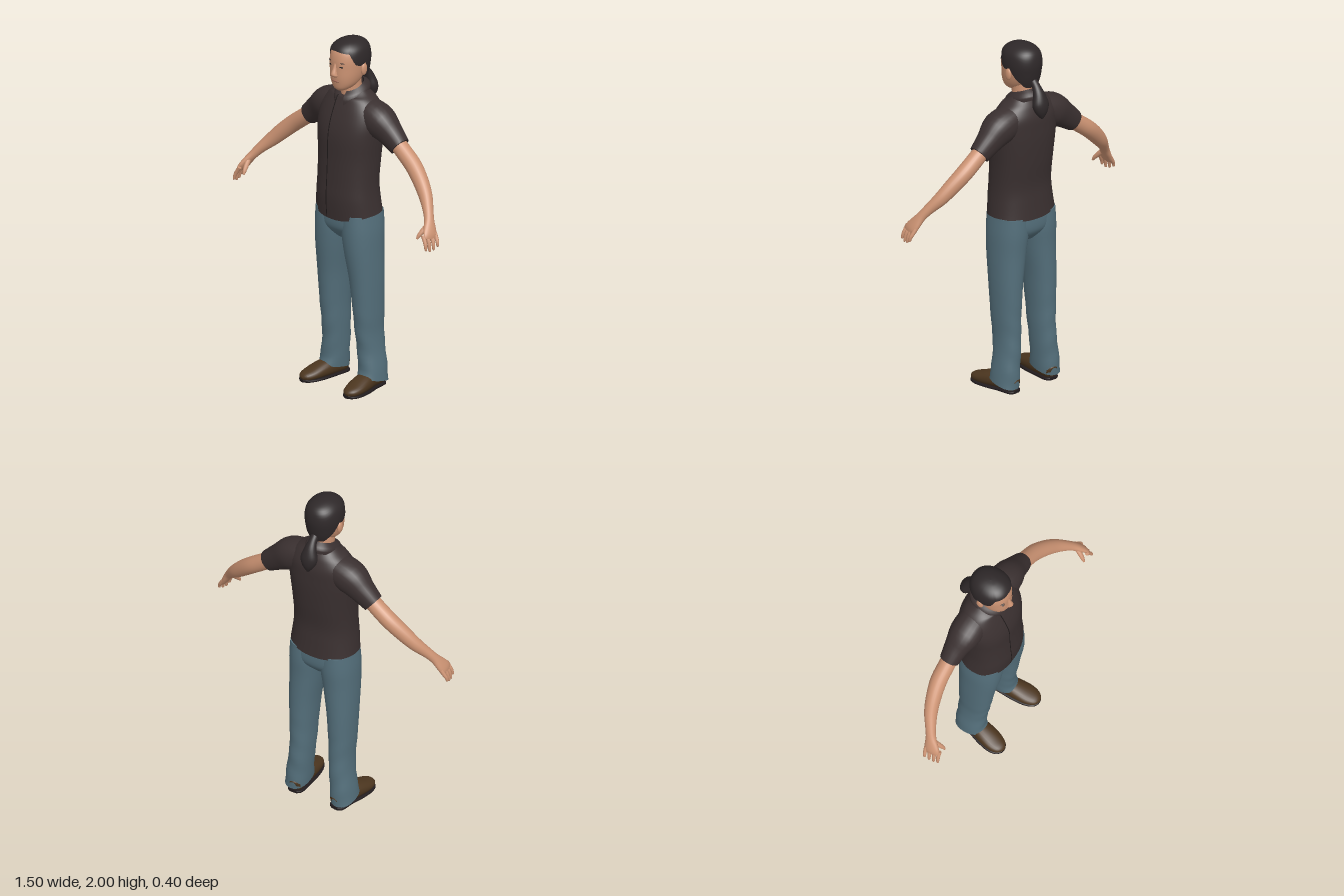
import * as THREE from 'three';

const material = (name, color) => {
  const m = new THREE.MeshStandardMaterial({ color, side: THREE.DoubleSide });
  m.name = name;
  return m;
};

// Catmull-Rom blend of number rows, s from 0 to 1
function sample(rows, s) {
  const n = rows.length - 1;
  const f = Math.min(Math.max(s, 0), 1) * n;
  const i = Math.min(Math.floor(f), n - 1), t = f - i;
  const at = (k) => rows[Math.min(Math.max(k, 0), n)];
  const [a, b, c, d] = [at(i - 1), at(i), at(i + 1), at(i + 2)];
  return b.map((_, k) => b[k] + 0.5 * t * (c[k] - a[k]
    + t * (2 * a[k] - 5 * b[k] + 4 * c[k] - d[k] + t * (3 * (b[k] - c[k]) + d[k] - a[k]))));
}

// Grid surface from point(s, angle); angle 0 is the front and grows towards +x
function surface(point, rows, cols, { arc = null, caps = false } = {}) {
  const [a0, a1] = arc || [0, Math.PI * 2];
  const count = arc ? cols + 1 : cols;
  const ring = (s) => Array.from({ length: count }, (_, j) => point(s, a0 + (a1 - a0) * j / cols));
  const grid = Array.from({ length: rows + 1 }, (_, i) => ring(i / rows));
  const middle = (r) => {
    const c = new THREE.Vector3();
    r.forEach((p) => c.add(p));
    c.divideScalar(count);
    return r.map(() => c);
  };
  if (caps) {
    const first = grid[0], last = grid[grid.length - 1];
    grid.unshift(middle(first), first);
    grid.push(last, middle(last));
  }
  const index = [];
  for (let i = 0; i < grid.length - 1; i++) {
    if (grid[i] === grid[i + 1]) continue;
    for (let j = 0; j < cols; j++) {
      const k = (j + 1) % count;
      const a = i * count + j, b = i * count + k;
      index.push(a, b, b + count, a, b + count, a + count);
    }
  }
  const g = new THREE.BufferGeometry().setFromPoints(grid.flat());
  g.setIndex(index);
  g.computeVertexNormals();
  return g;
}

// Point on a tube of rounded sections [x, y, z, halfWidth, halfDepth]
const power = (v, p) => Math.sign(v) * Math.abs(v) ** (2 / p);
function section(rows, { flat = false, ref = [0, 0, 1], p = 2, warp = null } = {}) {
  return (s, a) => {
    const [x, y, z, w, d] = sample(rows, s);
    let u = new THREE.Vector3(1, 0, 0), v = new THREE.Vector3(...ref);
    if (!flat) {
      const lo = sample(rows, s - 0.01), hi = sample(rows, s + 0.01);
      const t = new THREE.Vector3(hi[0] - lo[0], hi[1] - lo[1], hi[2] - lo[2]).normalize();
      v.addScaledVector(t, -v.dot(t)).normalize();
      u = t.cross(v);
    }
    const q = new THREE.Vector3(x, y, z)
      .addScaledVector(u, Math.max(w, 0) * power(Math.sin(a), p))
      .addScaledVector(v, Math.max(d, 0) * power(Math.cos(a), p));
    if (warp) warp(q, a, s);
    return q;
  };
}
const loft = (rows, opts = {}, cols = 24) =>
  surface(section(rows, opts), (rows.length - 1) * 4, cols, { caps: true });

function mirrored(geometry) {
  const g = geometry.clone().scale(-1, 1, 1);
  const idx = g.index.array;
  for (let i = 0; i < idx.length; i += 3) [idx[i], idx[i + 1]] = [idx[i + 1], idx[i]];
  g.computeVertexNormals();
  return g;
}

const blob = (x, y, z, rx, ry, rz) =>
  new THREE.SphereGeometry(1, 16, 12).scale(rx, ry, rz).translate(x, y, z);

export function createModel() {
  const skin = material('skin', 0xcc9373);
  const hair = material('hair', 0x2e2829);
  const cloth = material('shirt cloth', 0x3a3030);
  const seam = material('seam and eyes', 0x1f1a1a);
  const denim = material('denim', 0x546f7b);
  const leather = material('shoe leather', 0x4c361f);
  const rubber = material('sole rubber', 0x221c1e);
  const lip = material('lips', 0xa96f5b);

  const model = new THREE.Group();
  model.name = 'standingPerson';
  const add = (name, geometry, mat) => {
    const m = new THREE.Mesh(geometry, mat);
    m.name = name;
    model.add(m);
  };
  const pair = (name, geometry, mat) => {
    add(name + 'Left', geometry, mat);
    add(name + 'Right', mirrored(geometry), mat);
  };

  // Shirt: body with curved hem and a neckline lowered in front
  const torso = section([
    [0, 0.985, 0.002, 0.197, 0.142], [0, 1.1, 0.01, 0.187, 0.141], [0, 1.2, 0.01, 0.181, 0.136],
    [0, 1.33, 0, 0.184, 0.14], [0, 1.45, -0.006, 0.195, 0.143], [0, 1.53, -0.014, 0.2, 0.136],
    [0, 1.6, -0.025, 0.19, 0.122], [0, 1.655, -0.028, 0.155, 0.1], [0, 1.69, -0.026, 0.108, 0.082],
    [0, 1.72, -0.022, 0.07, 0.068],
  ], {
    flat: true, p: 2.3,
    warp: (q, a, s) => {
      q.y += 0.035 * Math.sin(a) ** 2 * Math.max(0, 1 - s * 7);
      q.y += 0.02 * Math.max(0, -Math.cos(a)) * Math.max(0, 1 - s * 7);
      q.y -= 0.04 * Math.max(0, Math.cos(a)) * Math.max(0, s * 6 - 5);
    },
  });
  add('shirtBody', surface(torso, 44, 48, { caps: true }), cloth);
  add('shirtPlacket', surface((s, a) => {
    const q = torso(0.01 + s * 0.9, 0);
    return q.set(-0.03 + 0.003 * a, q.y, q.z + 0.0015);
  }, 40, 1, { arc: [-1, 1] }), seam);
  pair('shirtSleeve', loft([
    [0.09, 1.595, -0.035, 0.08, 0.085], [0.19, 1.56, -0.035, 0.092, 0.09],
    [0.27, 1.505, -0.04, 0.073, 0.068], [0.34, 1.45, -0.04, 0.059, 0.054],
  ], { p: 2.2 }), cloth);

  // Collar folded down around the neck, open in front
  add('shirtCollar', surface((s, a) => {
    const front = (1 + Math.cos(a)) / 2;
    const fold = Math.sin(Math.min(s * 1.6, 1) * Math.PI / 2);
    return new THREE.Vector3(
      (0.06 + 0.032 * fold) * Math.sin(a),
      1.755 - 0.05 * front - s * (0.05 + 0.025 * front),
      -0.02 + (0.066 + 0.04 * fold) * Math.cos(a));
  }, 6, 36, { arc: [0.3, Math.PI * 2 - 0.3] }), cloth);

  // Trousers: hips joining two legs
  add('trouserHips', loft([
    [0, 0.86, 0, 0.08, 0.07], [0, 0.91, 0, 0.16, 0.115], [0, 0.96, 0, 0.193, 0.129],
    [0, 1.06, 0, 0.178, 0.127],
  ], { flat: true, p: 2.4 }, 36), denim);
  pair('trouserLeg', loft([
    [0.148, 0.05, -0.028, 0.067, 0.094], [0.142, 0.12, -0.032, 0.067, 0.086],
    [0.132, 0.22, -0.031, 0.063, 0.085], [0.126, 0.32, -0.024, 0.063, 0.089],
    [0.126, 0.42, -0.018, 0.067, 0.094], [0.124, 0.52, -0.014, 0.072, 0.1],
    [0.12, 0.64, -0.009, 0.079, 0.107], [0.108, 0.8, 0, 0.092, 0.119],
    [0.1, 0.92, 0, 0.099, 0.127], [0.1, 1.02, 0, 0.09, 0.125],
  ], {
    flat: true, p: 2.2,
    warp: (q, a, s) => {
      q.y += 0.022 * Math.cos(a) * Math.max(0, 1 - s * 9);
      q.z += 0.003 * Math.sin(q.y * 45 + a * 2) * Math.max(0, 1 - s * 1.6);
    },
  }, 28), denim);

  // Shoes with thin soles
  const shoe = [
    [0.133, 0.045, -0.112, 0.02, 0.03], [0.135, 0.05, -0.09, 0.042, 0.046],
    [0.142, 0.052, -0.01, 0.048, 0.05], [0.153, 0.045, 0.06, 0.056, 0.044],
    [0.164, 0.034, 0.13, 0.055, 0.031], [0.169, 0.026, 0.178, 0.038, 0.022],
    [0.171, 0.02, 0.197, 0.01, 0.008],
  ];
  pair('shoe', loft(shoe, {
    ref: [0, 1, 0], p: 2.2, warp: (q) => { q.y = Math.max(q.y, 0.01); },
  }), leather);
  pair('shoeSole', loft(shoe.map(([x, , z, w]) => [x, 0.008, z, w + 0.003, 0.008]),
    { ref: [0, 1, 0], p: 5 }), rubber);

  // Arms running into the palms
  pair('arm', loft([
    [0.3, 1.48, -0.04, 0.045, 0.045], [0.38, 1.42, -0.04, 0.047, 0.046],
    [0.45, 1.367, -0.036, 0.047, 0.046], [0.52, 1.305, -0.018, 0.045, 0.042],
    [0.58, 1.245, 0.006, 0.039, 0.037], [0.632, 1.19, 0.04, 0.029, 0.03],
    [0.665, 1.148, 0.065, 0.024, 0.029], [0.69, 1.11, 0.085, 0.021, 0.039],
    [0.707, 1.08, 0.1, 0.018, 0.045], [0.716, 1.06, 0.107, 0.012, 0.041],
  ]), skin);

  // Fingers and thumb
  [0.066, 0.092, 0.118, 0.142].forEach((z, i) => {
    const drop = [0.042, 0.056, 0.06, 0.05][i];
    const x = 0.715 - i * 0.005;
    pair('finger' + (i + 1), loft([
      [x - 0.006, 1.085, z, 0.011, 0.012], [x + 0.012, 1.055, z + 0.004, 0.011, 0.011],
      [x + 0.022, 1.068 - drop * 0.7, z + 0.008, 0.0095, 0.0095],
      [x + 0.026, 1.062 - drop, z + 0.01, 0.007, 0.007],
      [x + 0.026, 1.057 - drop, z + 0.01, 0.002, 0.002],
    ], {}, 10), skin);
  });
  pair('thumb', loft([
    [0.676, 1.13, 0.085, 0.014, 0.014], [0.668, 1.1, 0.115, 0.014, 0.014],
    [0.66, 1.075, 0.138, 0.011, 0.011], [0.656, 1.056, 0.15, 0.006, 0.006],
  ], {}, 10), skin);

  // Neck and head
  add('neck', loft([
    [0, 1.62, -0.022, 0.062, 0.064], [0, 1.7, -0.012, 0.056, 0.06], [0, 1.8, -0.008, 0.056, 0.06],
  ], { flat: true }), skin);
  add('head', loft([
    [0, 1.716, 0.062, 0.018, 0.022], [0, 1.732, 0.05, 0.046, 0.053], [0, 1.76, 0.034, 0.069, 0.077],
    [0, 1.8, 0.02, 0.083, 0.096], [0, 1.85, 0.008, 0.091, 0.107], [0, 1.9, 0.001, 0.094, 0.112],
    [0, 1.945, -0.003, 0.086, 0.103], [0, 1.975, -0.006, 0.06, 0.076], [0, 1.99, -0.006, 0.015, 0.02],
  ], { flat: true, p: 2.2 }, 36), skin);

  // Face
  add('nose', loft([
    [0, 1.8, 0.108, 0.01, 0.008], [0, 1.812, 0.115, 0.021, 0.02], [0, 1.826, 0.118, 0.017, 0.021],
    [0, 1.855, 0.111, 0.011, 0.015], [0, 1.885, 0.105, 0.009, 0.009],
  ], { flat: true }, 16), skin);
  pair('eye', blob(0.037, 1.866, 0.104, 0.014, 0.004, 0.007), seam);
  pair('eyebrow', blob(0.038, 1.888, 0.101, 0.019, 0.003, 0.008), hair);
  add('lips', blob(0, 1.78, 0.109, 0.027, 0.008, 0.009), lip);
  pair('ear', blob(0.1, 1.842, -0.008, 0.012, 0.034, 0.021), skin);

  // Hair: a cap whose lower edge rises at the brow and drops at temples and nape
  const cap = section([
    [0, 1.75, -0.03, 0.062, 0.062], [0, 1.8, -0.02, 0.086, 0.09], [0, 1.85, -0.006, 0.099, 0.114],
    [0, 1.9, -0.004, 0.103, 0.121], [0, 1.95, -0.004, 0.094, 0.112], [0, 1.98, -0.006, 0.068, 0.085],
    [0, 1.996, -0.006, 0.033, 0.042], [0, 2, -0.006, 0, 0],
  ], { flat: true, p: 2.1 });
  const edge = [[0, 1.952], [48, 1.94], [64, 1.88], [80, 1.865], [96, 1.88], [112, 1.82],
    [140, 1.775], [181, 1.768]];
  const hairline = (a) => {
    const deg = Math.abs(Math.atan2(Math.sin(a), Math.cos(a))) * 180 / Math.PI;
    const i = edge.findIndex((e) => e[0] > deg);
    const [p, q] = [edge[i - 1], edge[i]];
    return p[1] + (q[1] - p[1]) * (deg - p[0]) / (q[0] - p[0]);
  };
  add('hairCap', surface((s, a) => {
    const start = (hairline(a) - 1.75) / 0.05 / 7;
    return cap(start + (1 - start) * s, a);
  }, 20, 60), hair);
  add('ponytail', loft([
    [0, 1.81, -0.09, 0.022, 0.022], [0, 1.778, -0.122, 0.024, 0.022], [0, 1.735, -0.145, 0.036, 0.03],
    [0, 1.685, -0.157, 0.05, 0.037], [0, 1.64, -0.164, 0.036, 0.029], [0, 1.603, -0.17, 0.006, 0.006],
  ]), hair);

  return model;
}
